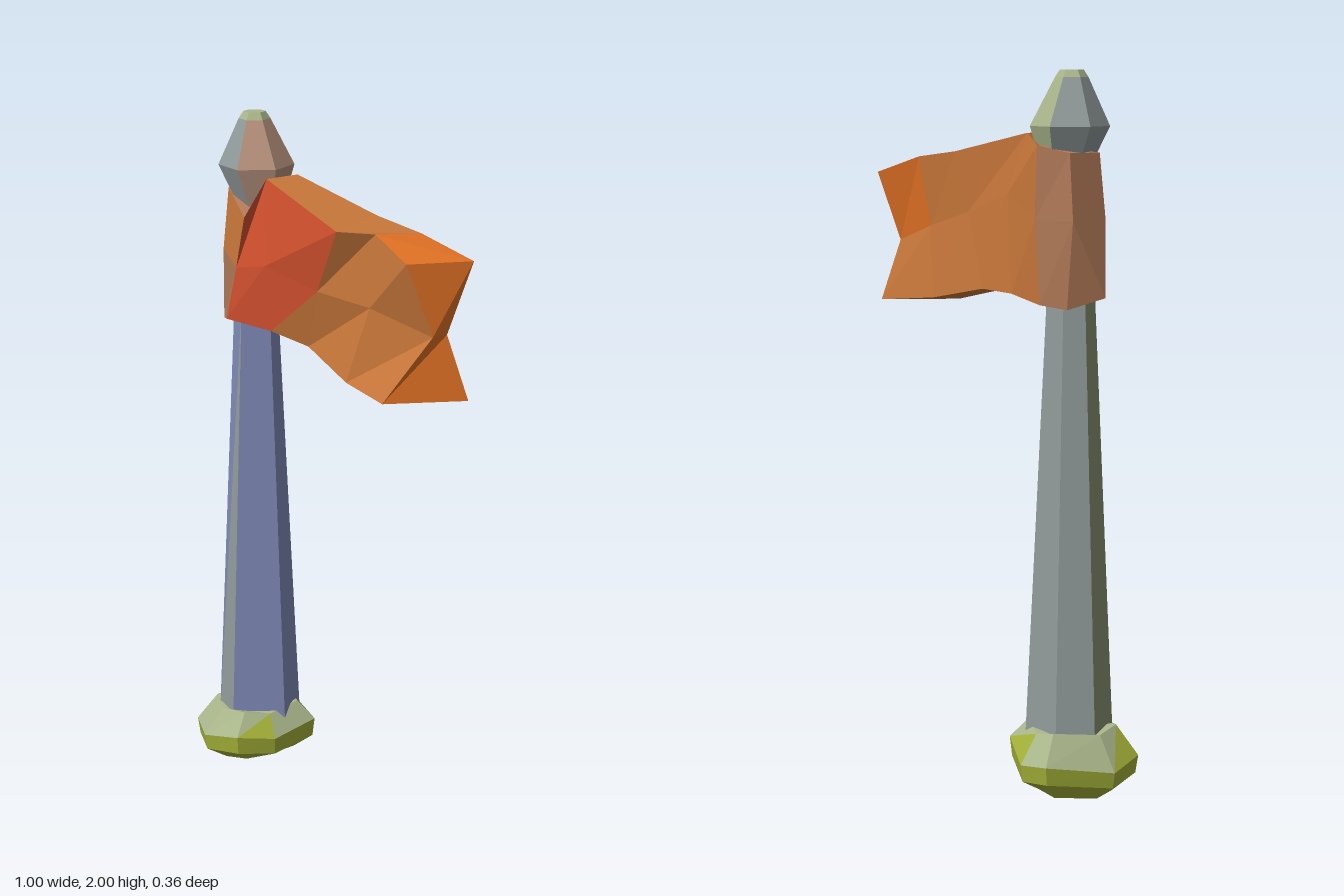
import * as THREE from 'three';

const mat = (name, color) => {
  const m = new THREE.MeshStandardMaterial({ color });
  m.name = name;
  return m;
};

// Flat-faced loft through rings of [x, y, z] points. pick(ring, side, tri) gives
// the material index of each triangle; the caps use ring -1 and rings.length - 1.
function loft(name, rings, mats, pick) {
  const buckets = mats.map(() => []);
  const n = rings[0].length, last = rings.length - 1;
  const add = (m, ...pts) => buckets[m].push(pts);
  for (let i = 0; i < last; i++) {
    for (let j = 0; j < n; j++) {
      const k = (j + 1) % n;
      const a = rings[i][j], b = rings[i][k], c = rings[i + 1][j], d = rings[i + 1][k];
      add(pick(i, j, 0), a, b, c);
      add(pick(i, j, 1), b, d, c);
    }
  }
  // caps made as a strip of quads across the ring
  for (let k = 0; k < n / 2 - 1; k++) {
    const q = [(n - k) % n, 1 + k, 2 + k, n - k - 1];
    const [a, b, c, d] = q.map((v) => rings[last][v]);
    add(pick(last, k, 0), a, b, c);
    add(pick(last, k, 1), a, c, d);
    const [e, f, g, h] = q.map((v) => rings[0][v]);
    add(pick(-1, k, 0), g, f, e);
    add(pick(-1, k, 1), h, g, e);
  }
  // turn every face outward
  const v = (p) => new THREE.Vector3(...p);
  let volume = 0;
  for (const [a, b, c] of buckets.flat()) volume += v(a).dot(v(b).cross(v(c)));
  const geo = new THREE.BufferGeometry();
  const pos = [];
  buckets.forEach((tris, m) => {
    geo.addGroup(pos.length / 3, tris.length * 3, m);
    for (const [a, b, c] of tris) pos.push(...a, ...(volume < 0 ? [...c, ...b] : [...b, ...c]));
  });
  geo.setAttribute('position', new THREE.Float32BufferAttribute(pos, 3));
  geo.computeVertexNormals();
  const mesh = new THREE.Mesh(geo, mats);
  mesh.name = name;
  return mesh;
}

export function createModel() {
  const red = mat('red cloth', 0xd2502e);
  const orange = mat('orange cloth', 0xc8773a);
  const bright = mat('bright orange cloth', 0xdf7024);
  const tan = mat('tan sleeve', 0xb27a58);
  const blue = mat('blue pole', 0x7d88b4);
  const grey = mat('grey', 0x919a9a);
  const moss = mat('moss grey', 0x87916f);
  const olive = mat('olive stone', 0xa3b038);
  const pale = mat('pale stone', 0xa9b58a);
  const rose = mat('rose grey', 0xb5917c);

  const group = new THREE.Group();
  group.name = 'flag';
  const cx = -0.32;

  // pole: uneven hexagon, tapering upward
  const hex = [[-0.21, -0.01], [-0.31, 0.11], [-0.39, 0.10], [-0.44, 0], [-0.38, -0.09], [-0.26, -0.105]];
  const poleRing = (y, s) => hex.map(([x, z]) => [cx + (x - cx) * s, y, z * s]);
  const poleSides = [0, 1, 2, 1, 1, 0];
  group.add(loft('pole', [poleRing(0.13, 1.02), poleRing(1.45, 0.52)], [blue, grey, moss],
    (i, j, t) => (j === 1 && t === 1 ? 0 : poleSides[j])));

  // base: squat rock with a slanted underside
  const rim = [[-0.18, 0.05], [-0.23, 0.155], [-0.37, 0.175], [-0.47, 0.13],
    [-0.505, 0.02], [-0.43, -0.16], [-0.34, -0.18], [-0.19, -0.11]];
  const baseRing = (s, height) => rim.map(([x, z], j) =>
    [cx + (x - cx) * s, height(x, j), z * s]);
  group.add(loft('base', [
    baseRing(0.62, (x) => 0.14 * (x + 0.505)),
    baseRing(0.96, (x, j) => 0.045 + 0.08 * (x + 0.5) + (j % 2) * 0.015),
    baseRing(1, (x, j) => 0.09 + 0.1 * (x + 0.5) + (j % 2) * 0.02),
    baseRing(0.68, (x, j) => 0.185 + (j % 2) * 0.012),
  ], [olive, pale], (i, j, t) => (i === 3 || (i === 2 && !(t === 0 && j % 3 === 0)) ? 1 : 0)));

  // finial: faceted bud on top of the pole
  const budRing = (y, r, x = cx) => Array.from({ length: 6 }, (_, k) => {
    const a = (k * Math.PI) / 3 + 0.12;
    return [x + r * Math.cos(a), y, r * Math.sin(a)];
  });
  group.add(loft('finial',
    [budRing(1.7, 0.05, -0.29), budRing(1.85, 0.108, -0.313), budRing(1.98, 0.045), budRing(2, 0.032)],
    [grey, rose, pale], (i, j) => (i > 1 ? 2 : j === 0 || j === 5 ? 1 : j === 4 ? 2 : 0)));

  // cloth: each ring runs top back, top front, front, bottom front, bottom back, back
  const cloth = [
    [[-0.38, 1.78, -0.05], [-0.38, 1.78, 0.05], [-0.395, 1.6, 0.06],
      [-0.41, 1.39, 0.05], [-0.37, 1.36, -0.05], [-0.395, 1.6, -0.05]],
    [[-0.3, 1.8, -0.1], [-0.24, 1.72, 0.1], [-0.28, 1.57, 0.1],
      [-0.33, 1.41, 0.1], [-0.3, 1.37, -0.09], [-0.29, 1.6, -0.1]],
    [[-0.2, 1.83, -0.06], [-0.2, 1.83, 0.05], [-0.14, 1.6, 0.105],
      [-0.14, 1.41, 0.085], [-0.16, 1.39, -0.085], [-0.12, 1.66, -0.07]],
    [[0.15, 1.77, -0.06], [0.21, 1.76, 0.13], [0.09, 1.57, 0.1],
      [0.0, 1.39, 0.06], [0.0, 1.39, -0.07], [0.1, 1.6, -0.05]],
    [[0.33, 1.75, -0.065], [0.3, 1.76, 0.07], [0.29, 1.56, 0.08],
      [0.24, 1.35, 0.12], [0.25, 1.345, -0.07], [0.3, 1.55, -0.045]],
    [[0.5, 1.7, -0.1], [0.42, 1.7, 0.065], [0.455, 1.5, 0],
      [0.38, 1.32, 0.11], [0.5, 1.32, -0.09], [0.455, 1.5, -0.05]],
  ];
  group.add(loft('flag cloth', cloth, [orange, red, bright, tan], (i, j, t) => {
    if (i === 5) return 2;                                   // swallow tail end
    if (i === -1) return 3;                                  // sleeve edge
    if (i === 0) return j === 1 ? 0 : 3;                     // sleeve
    if ((i === 1 || i === 2) && (j === 1 || (j === 2 && (i === 1 || t === 0)))) return 1;
    return i === 4 && (j === 0 || j === 5) ? 2 : 0;
  }));

  return group;
}
